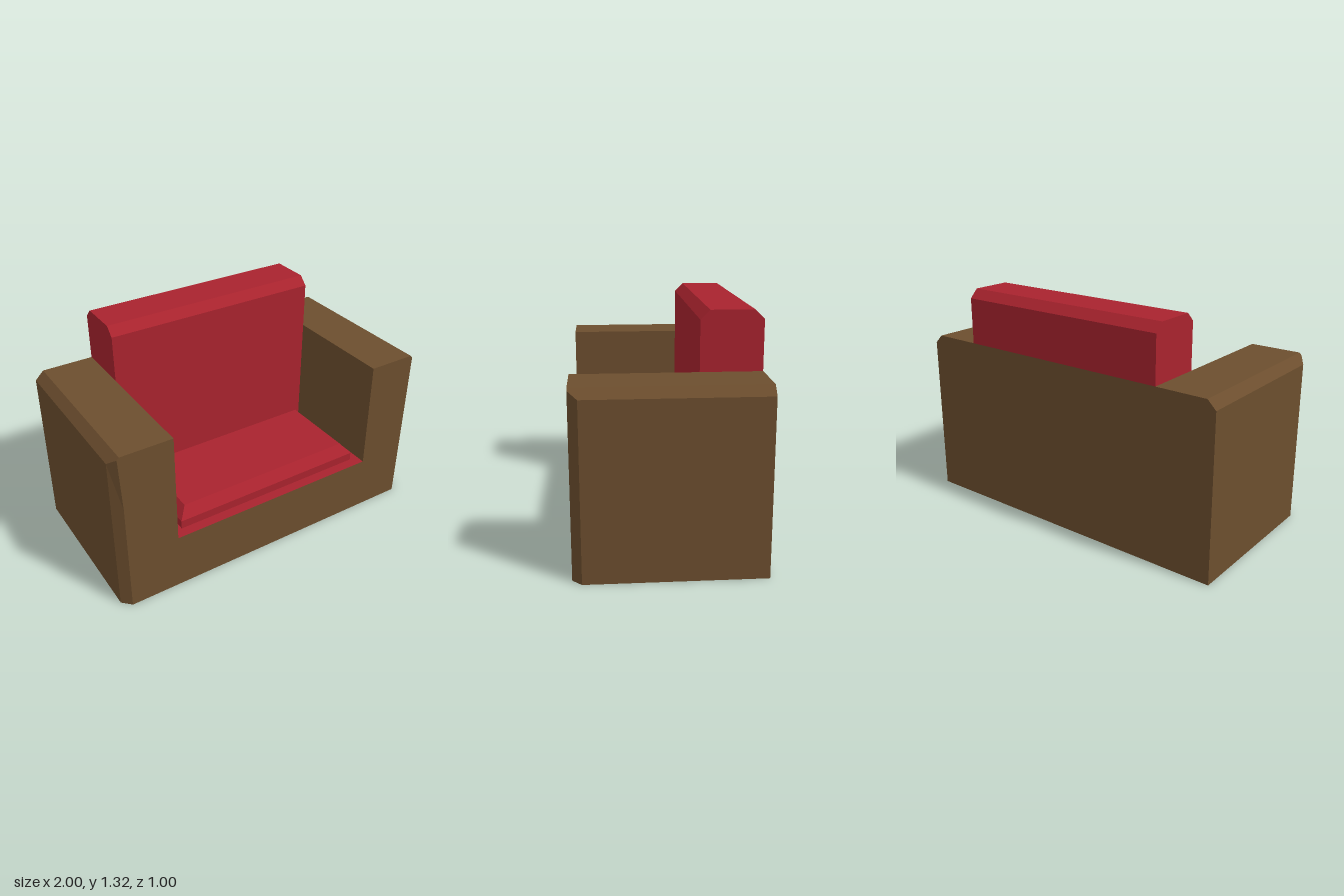
import * as THREE from 'three';

const LEFT = 0.66, RIGHT = -0.65; // inner faces of the two arms
const SEAT = 0.34, WIDTH = LEFT - RIGHT, MID = (LEFT + RIGHT) / 2;

// Flat-sided surface from corner loops, each split into a fan of triangles
function panels(loops) {
  const pos = [];
  for (const p of loops)
    for (let i = 1; i < p.length - 1; i++) pos.push(...p[0], ...p[i], ...p[i + 1]);
  const g = new THREE.BufferGeometry();
  g.setAttribute('position', new THREE.Float32BufferAttribute(pos, 3));
  g.computeVertexNormals();
  return g;
}

// Armrest with chamfered outer top and outer front edges
function armGeometry(side) {
  const i = side > 0 ? LEFT : -RIGHT;
  const a = [1, 0.95, 0.45], b = [0.95, 1, 0.5], c = [0.963, 0.987, 0.5], d = [0.95, 0.67, 0.5];
  const loops = [
    [[1, 0, 0.45], [1, 0, -0.5], [1, 0.95, -0.5], a],                     // outside
    [a, [1, 0.95, -0.5], [0.95, 1, -0.5], b, c],                          // top chamfer
    [b, [0.95, 1, -0.5], [i, 1, -0.5], [i, 1, 0.5]],                      // top
    [[0.95, 0, 0.5], [1, 0, 0.45], a, c, d],                              // front chamfer
    [[i, 0, 0.5], [0.95, 0, 0.5], d, c, b, [i, 1, 0.5]],                  // front
    [[i, SEAT, -0.17], [i, SEAT, 0.5], [i, 1, 0.5], [i, 1, -0.17]],       // inside
  ];
  return panels(side > 0 ? loops : loops.map(l => l.map(([x, y, z]) => [-x, y, z]).reverse()));
}

export function createModel() {
  const group = new THREE.Group();
  const brown = new THREE.MeshStandardMaterial({ color: 0x6c4e2e });
  brown.name = 'brown frame';
  const red = new THREE.MeshStandardMaterial({ color: 0xa9232e });
  red.name = 'red upholstery';
  const add = (name, geometry, material) => {
    const mesh = new THREE.Mesh(geometry, material);
    mesh.name = name;
    group.add(mesh);
    return mesh;
  };

  // Frame
  add('leftArm', armGeometry(1), brown);
  add('rightArm', armGeometry(-1), brown);
  add('backPanel', panels([[[1, 0, -0.5], [-1, 0, -0.5], [-1, 0.95, -0.5],
    [-0.95, 1, -0.5], [0.95, 1, -0.5], [1, 0.95, -0.5]]]), brown);
  add('underside', panels([[[-1, 0, -0.5], [1, 0, -0.5], [1, 0, 0.45],
    [0.95, 0, 0.5], [-0.95, 0, 0.5], [-1, 0, 0.45]]]), brown);
  add('frontPanel', panels([[[RIGHT, 0, 0.5], [LEFT, 0, 0.5],
    [LEFT, SEAT, 0.5], [RIGHT, SEAT, 0.5]]]), brown);

  // Seat base
  add('seatBase', panels([[[RIGHT, SEAT, 0.5], [LEFT, SEAT, 0.5],
    [LEFT, SEAT, -0.5], [RIGHT, SEAT, -0.5]]]), red);

  // Seat cushion: a box whose top rim is drawn in to form a bevel
  const cushion = new THREE.BoxGeometry(1.2, 0.11, 0.56, 1, 2, 1).toNonIndexed();
  const p = cushion.attributes.position;
  for (let i = 0; i < p.count; i++) {
    const y = p.getY(i);
    if (y > 0.01) {
      p.setX(i, p.getX(i) - 0.05 * Math.sign(p.getX(i)));
      p.setZ(i, p.getZ(i) - 0.05 * Math.sign(p.getZ(i)));
    } else if (y > -0.01) p.setY(i, -0.005);
  }
  cushion.computeVertexNormals();
  add('seatCushion', cushion, red).position.set(MID, SEAT + 0.055, 0.16);

  // Backrest: side profile (-z, y) swept across, tucked in behind the back panel
  const profile = new THREE.Shape([[0.17, SEAT], [0.49, SEAT], [0.49, 0.99], [0.5, 1], [0.5, 1.27],
    [0.45, 1.32], [0.22, 1.32], [0.17, 1.27]].map(([x, y]) => new THREE.Vector2(x, y)));
  const back = new THREE.ExtrudeGeometry(profile, { depth: WIDTH, bevelEnabled: false });
  back.rotateY(Math.PI / 2);
  back.translate(RIGHT, 0, 0);
  add('backrest', back, red);

  return group;
}
